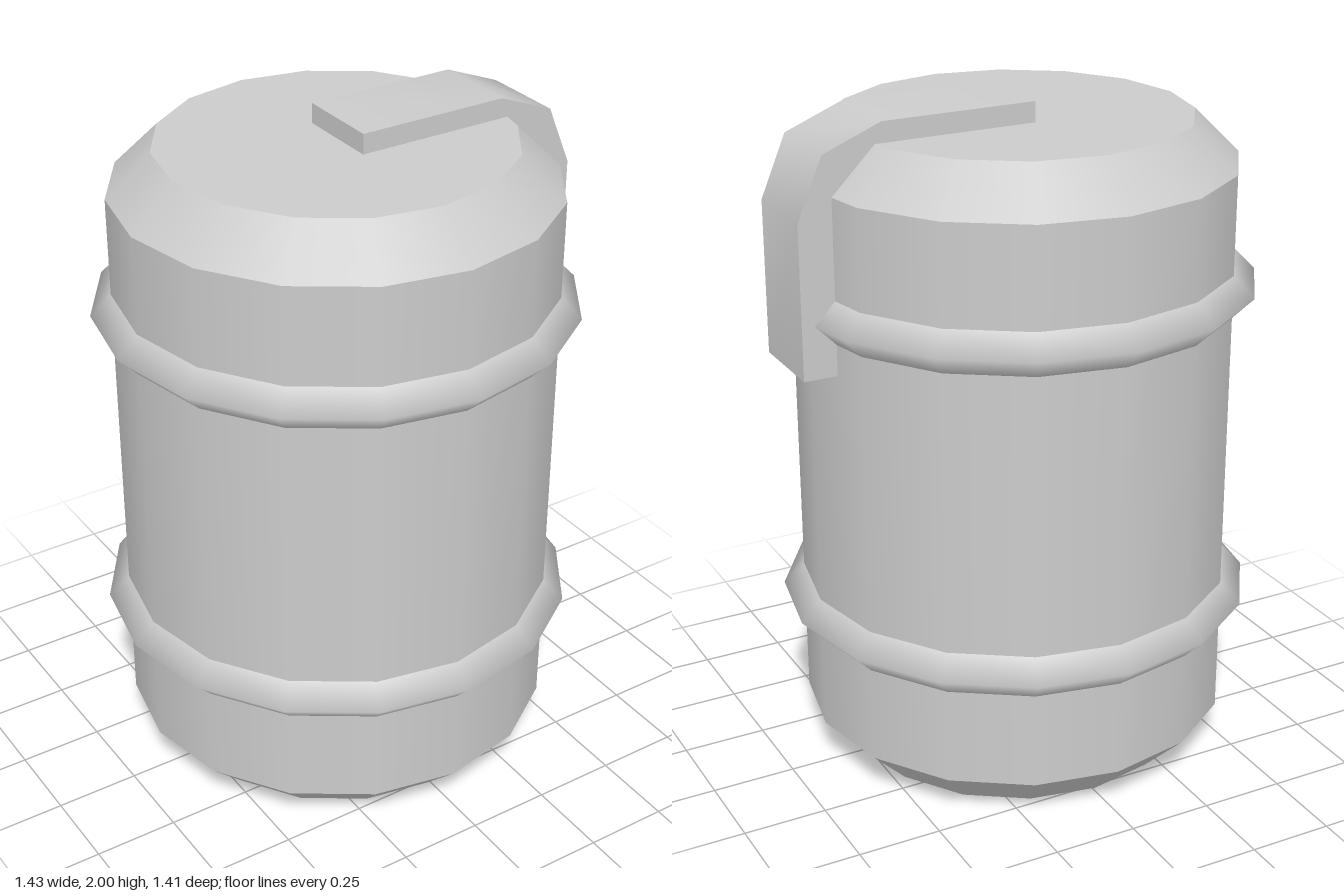
import * as THREE from 'three';
import { toCreasedNormals } from 'three/addons/utils/BufferGeometryUtils.js';

const SIDES = 16;
const AXIS_X = -0.008; // the strap overhang shifts the barrel slightly off centre
const grey = new THREE.MeshStandardMaterial({ color: 0xcccccc });

function addMesh(parent, name, geometry) {
  const mesh = new THREE.Mesh(geometry, grey);
  mesh.name = name;
  parent.add(mesh);
  return mesh;
}

// One smooth band turned around the barrel axis, profile given bottom to top
function addBand(parent, name, profile) {
  const points = profile.map(([r, y]) => new THREE.Vector2(r, y));
  return addMesh(parent, name, new THREE.LatheGeometry(points, SIDES));
}

export function createModel() {
  const model = new THREE.Group();
  model.name = 'barrel';

  // Body: separate bands keep the horizontal edges crisp
  const body = new THREE.Group();
  body.name = 'body';
  body.position.x = AXIS_X;
  model.add(body);
  const profile = [[0, 0], [0.515, 0], [0.645, 0.13], [0.645, 1.81], [0.515, 1.94], [0, 1.94]];
  const names = ['base', 'lowerChamfer', 'wall', 'upperChamfer', 'lid'];
  names.forEach((name, i) => addBand(body, name, [profile[i], profile[i + 1]]));

  // Two pointed hoops around the wall
  for (const [name, y] of [['lowerHoop', 0.487], ['upperHoop', 1.455]]) {
    addBand(body, name, [[0.645, y - 0.063], [0.707, y], [0.645, y + 0.063]]);
  }

  // Lever strap: runs from the lid centre over the rim and down the left side
  const outline = [
    [0, 1.94], [0.485, 1.94], [0.614, 1.81], [0.614, 1.3],
    [0.716, 1.3], [0.716, 1.75], [0.64, 1.93], [0.465, 2], [0, 2],
  ];
  const shape = new THREE.Shape(outline.map(([x, y]) => new THREE.Vector2(x, y)));
  const strap = new THREE.ExtrudeGeometry(shape, { depth: 0.26, bevelEnabled: false });
  strap.translate(-0.005, 0, -0.13);
  addMesh(model, 'leverStrap', toCreasedNormals(strap, THREE.MathUtils.degToRad(50)));

  return model;
}
